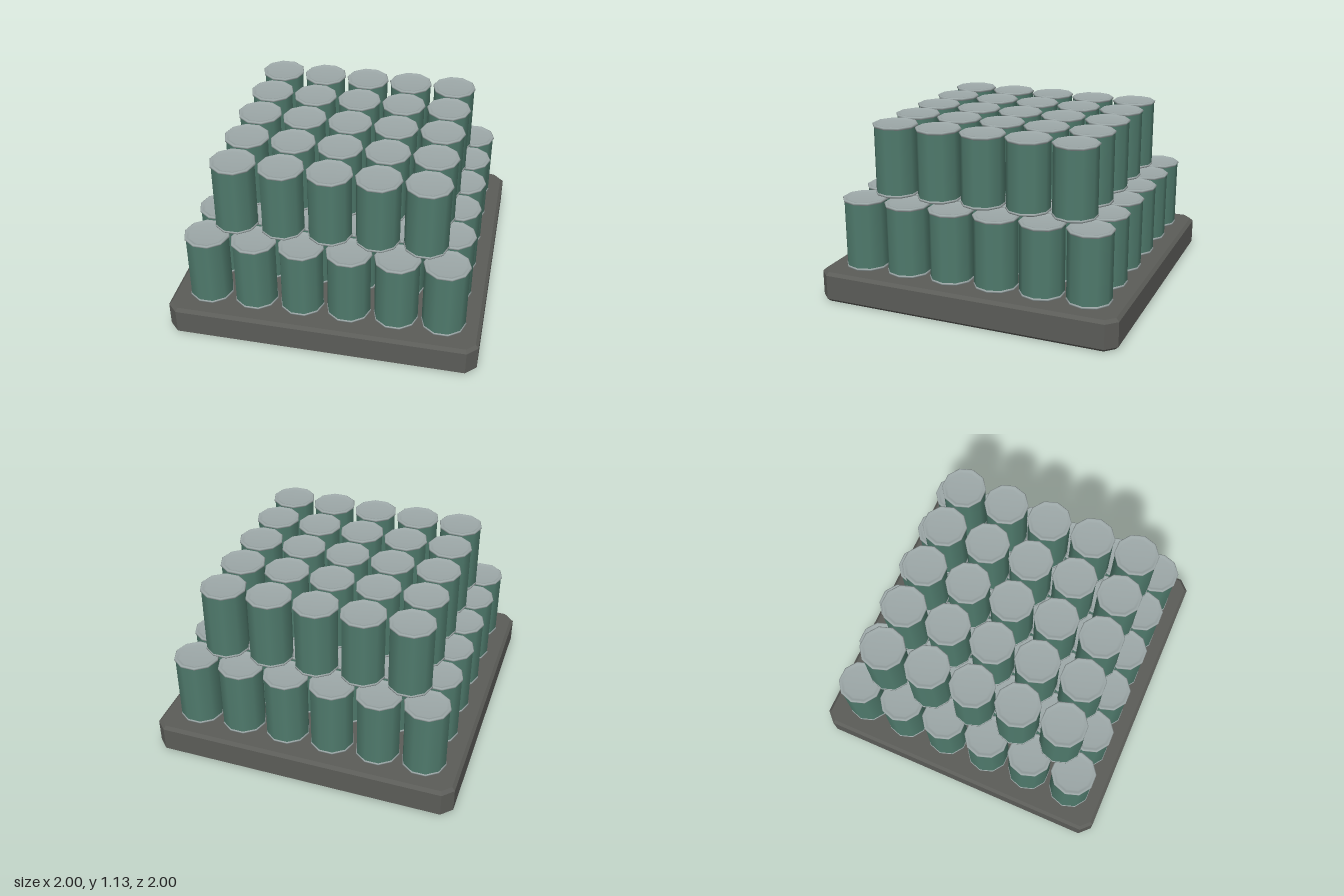
import * as THREE from 'three';

const SIDES = 10;
const PITCH = 0.304;
const CAN_HEIGHT = 0.465;
const BASE_HEIGHT = 0.2;

// Ten-sided lathe with corners on the x axis; points run from bottom to top
function lathe(points) {
  const profile = points.map(([r, y]) => new THREE.Vector2(r, y));
  return new THREE.LatheGeometry(profile, SIDES).rotateY(Math.PI / 2);
}

// Square slab with cut corners and a small bevel above and below
function slabGeometry() {
  const bevel = 0.02, h = 1 - bevel, c = 0.925;
  const shape = new THREE.Shape([
    [c, -h], [h, -c], [h, c], [c, h], [-c, h], [-h, c], [-h, -c], [-c, -h],
  ].map(([x, y]) => new THREE.Vector2(x, y)));
  const geometry = new THREE.ExtrudeGeometry(shape, {
    depth: BASE_HEIGHT - 2 * bevel,
    bevelEnabled: true,
    bevelThickness: bevel,
    bevelSize: bevel,
    bevelSegments: 1,
  });
  return geometry.rotateX(-Math.PI / 2).translate(0, bevel, 0);
}

export function createModel() {
  const model = new THREE.Group();
  model.name = 'stackedCans';

  const baseGrey = new THREE.MeshStandardMaterial({ color: 0x5b5c58 });
  const canGreen = new THREE.MeshStandardMaterial({ color: 0x4f7a6c });
  const lidSilver = new THREE.MeshStandardMaterial({ color: 0x9ca7a7 });
  baseGrey.name = 'baseGrey';
  canGreen.name = 'canGreen';
  lidSilver.name = 'lidSilver';

  const base = new THREE.Mesh(slabGeometry(), baseGrey);
  base.name = 'base';
  model.add(base);

  // Can parts shared by every can
  const H = CAN_HEIGHT;
  const parts = [
    ['body', canGreen, lathe([[0.139, 0.018], [0.139, H - 0.016]])],
    ['bottomRim', lidSilver, lathe([[0.132, 0], [0.143, 0.006], [0.143, 0.014], [0.138, 0.021]])],
    ['bottomDisc', lidSilver, lathe([[0, 0.001], [0.132, 0.001]])],
    ['topRim', lidSilver, lathe([[0.138, H - 0.02], [0.146, H - 0.013], [0.146, H - 0.004], [0.14, H]])],
    ['lid', lidSilver, lathe([[0.14, H], [0.128, H], [0.113, H - 0.01], [0, H - 0.01]])],
  ];

  // Two square layers, the upper one sitting over the gaps of the lower
  [['lowerLayer', 6], ['upperLayer', 5]].forEach(([name, count], level) => {
    const layer = new THREE.Group();
    layer.name = name;
    layer.position.y = BASE_HEIGHT + level * CAN_HEIGHT;
    for (let i = 0; i < count; i++) {
      for (let j = 0; j < count; j++) {
        const can = new THREE.Group();
        can.name = 'can';
        can.position.set((i - (count - 1) / 2) * PITCH, 0, (j - (count - 1) / 2) * PITCH);
        for (const [partName, material, geometry] of parts) {
          const mesh = new THREE.Mesh(geometry, material);
          mesh.name = partName;
          can.add(mesh);
        }
        layer.add(can);
      }
    }
    model.add(layer);
  });

  return model;
}
